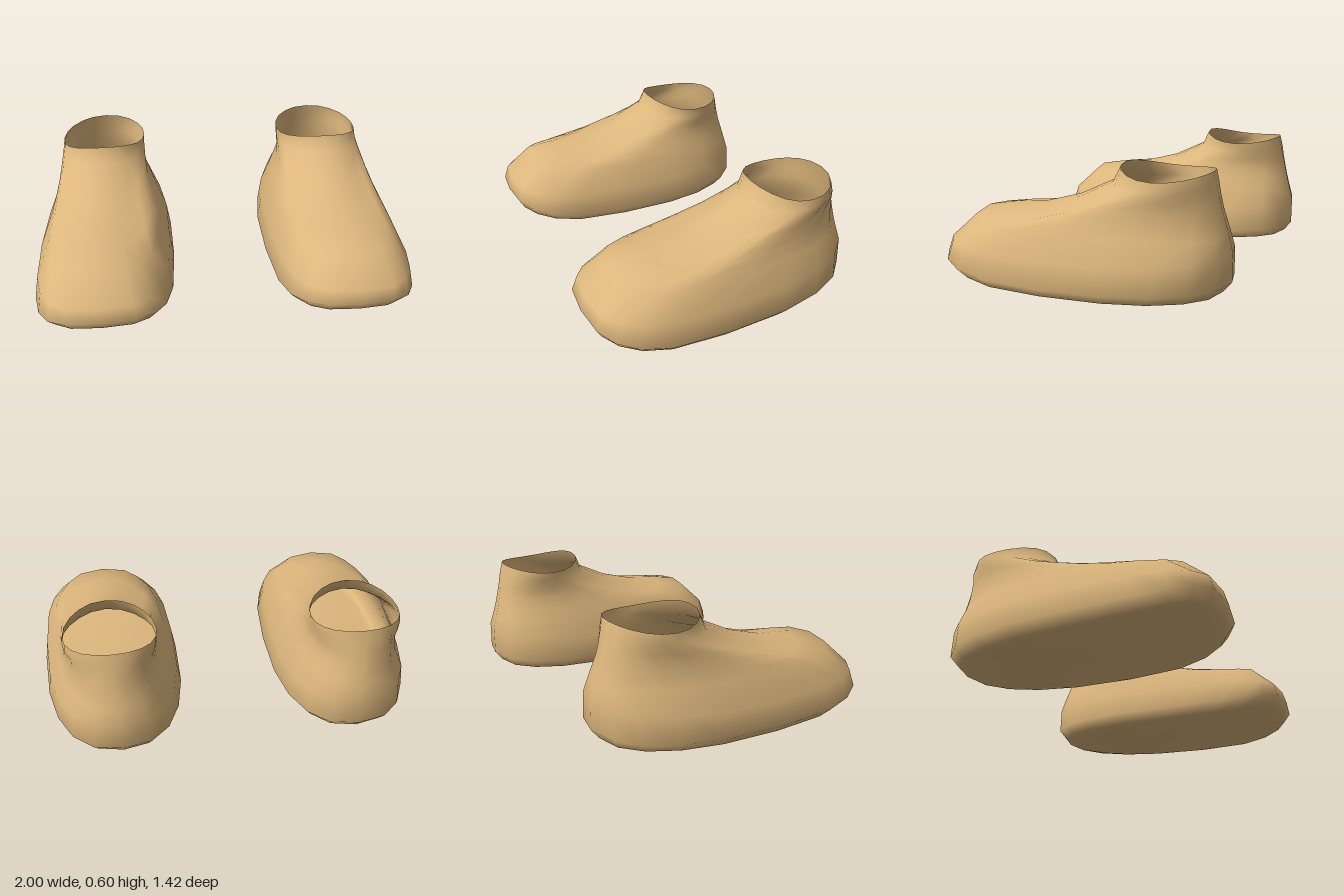
import * as THREE from 'three';

// Loops from the sole up to the ankle opening.
// front/back: [z, y] of the loop's ends; side: [z, y] of its widest place;
// x: inner and outer edge; n: squareness at toe and heel; dip: sag of the front corners
const LOOPS = [
  { front: [0.36, 0.022], back: [-0.42, 0.008], side: [0.06, 0.01], x: [0.46, 0.80], n: [2.8, 2.4], dip: 0 },
  { front: [0.61, 0.06], back: [-0.62, 0.006], side: [0.08, 0.003], x: [0.34, 0.92], n: [3.0, 2.5], dip: 0 },
  { front: [0.68, 0.075], back: [-0.67, 0.02], side: [0.1, 0.003], x: [0.30, 0.955], n: [3.1, 2.5], dip: 0 },
  { front: [0.71, 0.13], back: [-0.71, 0.07], side: [0.1, 0.05], x: [0.26, 1.0], n: [3.2, 2.5], dip: 0 },
  { front: [0.69, 0.2], back: [-0.71, 0.21], side: [0.08, 0.17], x: [0.28, 0.98], n: [3.1, 2.5], dip: 0 },
  { front: [0.56, 0.33], back: [-0.69, 0.29], side: [0.0, 0.3], x: [0.33, 0.92], n: [2.9, 2.4], dip: 0.02 },
  { front: [0.40, 0.36], back: [-0.675, 0.345], side: [-0.1, 0.355], x: [0.355, 0.893], n: [2.5, 2.3], dip: 0.03 },
  { front: [0.22, 0.38], back: [-0.66, 0.40], side: [-0.2, 0.41], x: [0.38, 0.873], n: [2.3, 2.2], dip: 0.03 },
  { front: [0.04, 0.43], back: [-0.645, 0.46], side: [-0.3, 0.46], x: [0.388, 0.86], n: [2.1, 2.1], dip: 0.025 },
  { front: [-0.15, 0.52], back: [-0.63, 0.52], side: [-0.4, 0.51], x: [0.39, 0.85], n: [2.1, 2.1], dip: 0.01 },
  { front: [-0.19, 0.6], back: [-0.615, 0.58], side: [-0.405, 0.555], x: [0.387, 0.843], n: [2.1, 2.1], dip: 0 },
];
const SEGMENTS = 20;

const power = (v, p) => Math.sign(v) * Math.abs(v) ** p;

// One point on a loop; the angle runs from the toe around the outer side
function loopPoint(loop, angle) {
  const c = Math.cos(angle), s = Math.sin(angle);
  const end = c > 0 ? loop.front : loop.back;
  const p = 2 / (c > 0 ? loop.n[0] : loop.n[1]);
  const z = loop.side[0] + Math.abs(end[0] - loop.side[0]) * power(c, p);
  let y = loop.side[1] + (end[1] - loop.side[1]) * c * c;
  if (c > 0) y -= loop.dip * Math.sin(2 * angle) ** 2;
  const [inner, outer] = loop.x;
  const skew = 0.04 * (z - loop.side[0]);
  const x = (inner + outer) / 2 + ((outer - inner) / 2) * power(s, p) + skew;
  return [x, y, z];
}

function shoeGeometry(mirror) {
  const positions = [], indices = [];
  const triangle = (a, b, c) => indices.push(...(mirror < 0 ? [a, c, b] : [a, b, c]));
  for (const loop of LOOPS) {
    for (let i = 0; i < SEGMENTS; i++) {
      const [x, y, z] = loopPoint(loop, (i / SEGMENTS) * Math.PI * 2);
      positions.push(x * mirror, y, z);
    }
  }
  // Shell between neighbouring loops
  for (let j = 0; j < LOOPS.length - 1; j++) {
    for (let i = 0; i < SEGMENTS; i++) {
      const a = j * SEGMENTS + i, b = j * SEGMENTS + ((i + 1) % SEGMENTS);
      triangle(a, b, b + SEGMENTS);
      triangle(a, b + SEGMENTS, a + SEGMENTS);
    }
  }
  // Middle of the sole
  const centre = positions.length / 3;
  positions.push(0.63 * mirror, 0.012, 0);
  for (let i = 0; i < SEGMENTS; i++) triangle(centre, (i + 1) % SEGMENTS, i);

  const geometry = new THREE.BufferGeometry();
  geometry.setAttribute('position', new THREE.Float32BufferAttribute(positions, 3));
  geometry.setIndex(indices);
  geometry.computeVertexNormals();
  return geometry;
}

export function createModel() {
  const group = new THREE.Group();
  group.name = 'pairOfShoes';
  const tan = new THREE.MeshStandardMaterial({ color: 0xdcb67c, side: THREE.DoubleSide });
  tan.name = 'tan';
  for (const [name, mirror] of [['leftShoe', 1], ['rightShoe', -1]]) {
    const shoe = new THREE.Mesh(shoeGeometry(mirror), tan);
    shoe.name = name;
    group.add(shoe);
  }
  return group;
}
